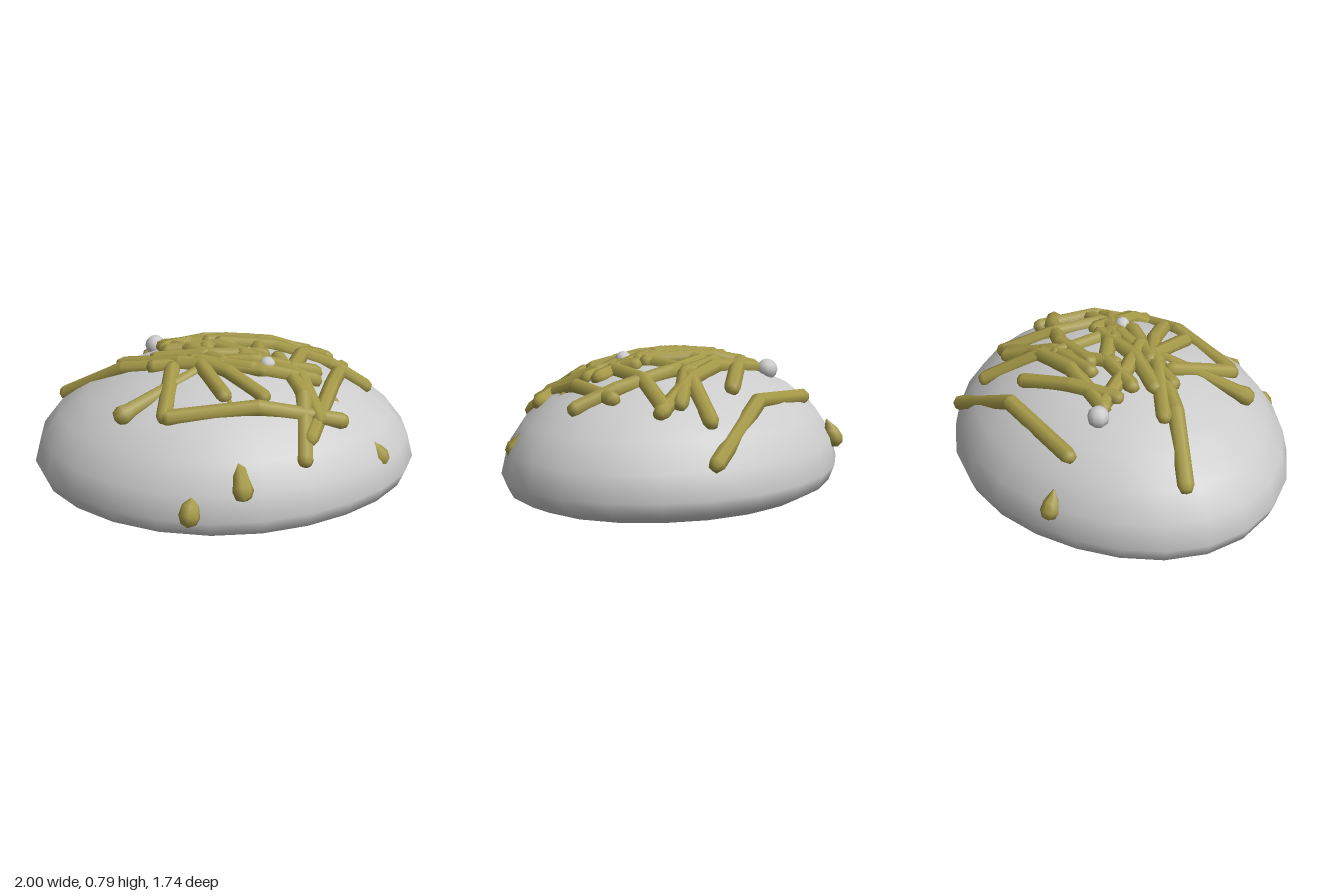
import * as THREE from 'three';
import { mergeVertices } from 'three/addons/utils/BufferGeometryUtils.js';

const RIM_Y = 0.2, DOME = 0.545, DEPTH = 0.845, Z0 = -0.025;

// slight unevenness of the rim by angle
const unevenness = (a) => 1 - 0.03 * Math.sin(2 * a) - 0.02 * Math.sin(2 * a) ** 2;

// height of the dome above a ground position
function domeY(x, z) {
  const w = (z - Z0) / DEPTH;
  const r = Math.hypot(x, w) / unevenness(Math.atan2(w, x));
  return RIM_Y + DOME * Math.pow(Math.max(0, 1 - r * r), 0.53);
}
const onDome = (x, z, lift = 0.008) => new THREE.Vector3(x, domeY(x, z) + lift, z);

export function createModel() {
  const model = new THREE.Group();
  const grey = new THREE.MeshStandardMaterial({ color: 0xcccccc });
  const glaze = new THREE.MeshStandardMaterial({ color: 0xa69a48 });
  const up = new THREE.Vector3(0, 1, 0);

  const add = (parent, name, geometry, material) => {
    const mesh = new THREE.Mesh(geometry, material);
    mesh.name = name;
    parent.add(mesh);
    return mesh;
  };

  // bun: a sphere with a round dome and a flattened underside
  let bunGeo = new THREE.SphereGeometry(1, 24, 12);
  bunGeo.deleteAttribute('uv');
  bunGeo.deleteAttribute('normal');
  const p = bunGeo.attributes.position;
  for (let i = 0; i < p.count; i++) {
    const x = p.getX(i), y = p.getY(i), z = p.getZ(i);
    const s = unevenness(Math.atan2(z, x));
    const h = y > 0 ? DOME * Math.pow(y, 1.06) : -RIM_Y * Math.pow(-y, 0.7);
    p.setXYZ(i, x * s, RIM_Y + h, Z0 + z * s * DEPTH);
  }
  bunGeo = mergeVertices(bunGeo, 1e-4);
  bunGeo.computeVertexNormals();
  add(model, 'bun', bunGeo, grey);

  // icing strands: bent rods lying on the dome, as x, z pairs
  const strands = [
    [-0.46, -0.52, 0.02, -0.62, 0.46, -0.74],
    [-0.85, -0.09, -0.52, 0.03, -0.1, 0.13],
    [-0.53, -0.04, -0.22, 0.09, 0.2, 0.15],
    [-0.35, -0.28, -0.02, -0.3, 0.22, -0.36, 0.53, -0.45],
    [0.09, -0.51, -0.13, -0.35, -0.33, -0.2],
    [0.37, -0.62, 0.22, -0.35, -0.1, -0.1],
    [0.5, -0.44, 0.4, -0.2, 0.36, 0.05],
    [0.42, -0.47, 0.2, -0.3, -0.1, -0.23],
    [0.73, -0.07, 0.55, -0.16, 0.25, -0.24, -0.03, -0.2],
    [0.61, -0.2, 0.56, 0.1, 0.46, 0.5],
    [0.61, 0.33, 0.2, 0.43, -0.23, 0.51],
    [-0.25, 0.5, -0.25, 0.15],
    [0.03, 0.38, -0.1, 0.15],
    [0.22, 0.35, 0.04, 0.2, -0.12, 0.1],
    [0.47, 0.04, 0.15, 0.06, -0.35, 0.1],
    [0.16, -0.3, 0.18, 0.05],
    [-0.3, -0.1, -0.05, -0.12, 0.2, 0.03],
    [0.44, 0.59, 0.42, 0.27, 0.28, -0.02],
    [0.5, 0.38, 0.4, 0.12, 0.1, 0.0],
    [-0.34, -0.28, -0.17, -0.06, 0, 0.1],
    [-0.35, 0, -0.1, 0.02, 0.2, -0.03],
    [0.47, 0.12, 0.15, 0.14, -0.15, 0.08],
  ];
  const R = 0.042;
  for (const path of strands) {
    const strand = new THREE.Group();
    strand.name = 'icingStrand';
    model.add(strand);
    for (let i = 0; i + 3 < path.length; i += 2) {
      const a = onDome(path[i], path[i + 1]), b = onDome(path[i + 2], path[i + 3]);
      const dir = b.clone().sub(a);
      const rod = add(strand, 'strandSection', new THREE.CapsuleGeometry(R, dir.length(), 2, 7), glaze);
      rod.position.copy(a).add(b).multiplyScalar(0.5);
      rod.quaternion.setFromUnitVectors(up, dir.normalize());
    }
  }

  // drips: teardrops from a thin tail (first point) to a round bulb (second point)
  const addDrip = (tail, bulb, radius, tailRadius) => {
    const dir = tail.clone().sub(bulb), len = dir.length();
    const profile = [[0, -radius], [radius * 0.7, -radius * 0.7], [radius, 0],
      [radius * 0.8, radius], [tailRadius, Math.max(len, radius * 1.5)], [0, Math.max(len, radius * 1.5)]]
      .map(([x, y]) => new THREE.Vector2(x, y));
    const drip = add(model, 'drip', new THREE.LatheGeometry(profile, 7), glaze);
    drip.position.copy(bulb);
    drip.quaternion.setFromUnitVectors(up, dir.normalize());
  };
  const v = (x, y, z) => new THREE.Vector3(x, y, z);
  addDrip(v(0.06, 0.66, 0.4), v(0.15, 0.35, 0.755), 0.055, 0.012);
  addDrip(v(0.56, 0.6, 0.18), v(0.81, 0.335, 0.29), 0.052, 0.02);
  addDrip(v(-0.09, 0.32, 0.78), v(-0.1, 0.235, 0.815), 0.055, 0.004);
  addDrip(v(-0.53, 0.42, -0.63), v(-0.555, 0.32, -0.665), 0.048, 0.004);
  addDrip(v(-0.08, 0.74, 0.13), v(-0.46, 0.595, 0.46), 0.052, 0.025);

  // sugar beads
  for (const [x, z, r] of [[-0.4, -0.33, 0.056], [0.23, 0.11, 0.042]]) {
    const bead = add(model, 'sugarBead', new THREE.SphereGeometry(r, 8, 6), grey);
    bead.position.copy(onDome(x, z, 0.025));
  }
  return model;
}
